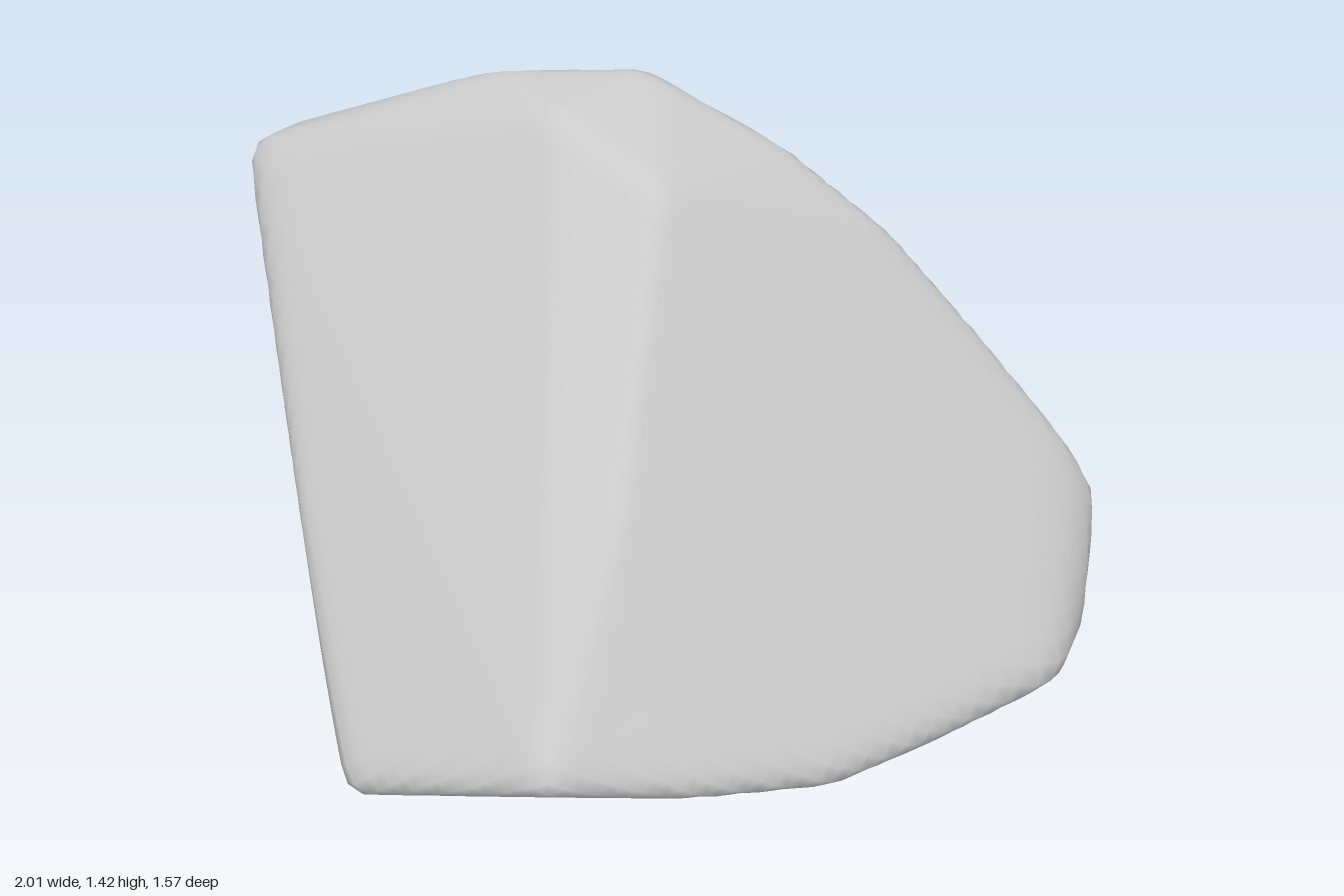
import * as THREE from 'three';
import { ConvexGeometry } from 'three/addons/geometries/ConvexGeometry.js';
import { mergeVertices } from 'three/addons/utils/BufferGeometryUtils.js';

// Main corners of the boulder, grouped by side
const crown = [
  [-0.05, 1.42, -0.36], [-0.39, 1.41, -0.3], [-0.2, 1.39, -0.1], [0.06, 1.28, 0.02],
  [0.27, 1.26, -0.36], [0.5, 1.08, -0.38], [0.71, 0.84, -0.4], [-0.2, 1.31, -0.5],
];
const sideTip = [
  [0.92, 0.61, -0.4], [1.01, 0.46, -0.43], [1.01, 0.2, -0.25], [0.97, 0.2, 0.01], [0.95, 0.13, -0.12],
];
const overhang = [
  [-1, 1.13, -0.6], [-1.01, 1.17, -0.34], [-1.01, 0.91, -0.64], [-1, 0.9, -0.42],
  [-0.79, 0.92, -0.8], [-0.55, 1.11, -0.65],
];
const front = [
  [-0.48, 0.11, 0.66], [0, 0.28, 0.8], [0.3, 0.2, 0.62], [0.53, 0.15, 0.45], [0.72, 0.14, 0.22],
  [0.08, 0.74, 0.44], [-0.77, 0.62, 0.1], [-0.62, 0.37, 0.4],
];
const back = [
  [-0.3, 0.75, -0.75], [0.05, 0.72, -0.75], [0.35, 0.4, -0.74], [0.58, 0.48, -0.71],
  [0.56, 0.03, -0.72], [-0.3, 0.35, -0.65],
];
const base = [
  [-0.58, 0, -0.42], [0, 0, -0.58], [0.4, 0, -0.6], [0.8, 0, -0.2], [0.5, 0, 0.2],
  [0, 0, 0.28], [-0.45, 0.01, 0.51], [-0.52, 0, 0.12],
];

// Shallow hollows worn into the sides: position, depth, angular width
const hollows = [
  [[0.7, 0.22, -0.6], 0.06, 0.16],
  [[-0.8, 0.58, -0.56], 0.04, 0.17],
];

const CENTRE = new THREE.Vector3(-0.05, 0.6, -0.1);
const WEAR = 0.035; // how far the edges are rounded

// Face planes of the hull around the corners, measured from CENTRE
function hullPlanes(corners) {
  const pos = new ConvexGeometry(corners).attributes.position;
  const planes = [];
  for (let i = 0; i < pos.count; i += 3) {
    const [a, b, c] = [0, 1, 2].map((k) => new THREE.Vector3().fromBufferAttribute(pos, i + k));
    const normal = b.clone().sub(a).cross(c.sub(a));
    if (normal.length() < 1e-6) continue;
    normal.normalize();
    planes.push({ normal, d: normal.dot(a.sub(CENTRE)) });
  }
  return planes;
}

// Distance from CENTRE to the hull along a direction
function reach(planes, dir) {
  let r = Infinity;
  for (const { normal, d } of planes) {
    const k = normal.dot(dir);
    if (k > 1e-6) r = Math.min(r, d / k);
  }
  return r;
}

function boulderGeometry() {
  const corners = [crown, sideTip, overhang, front, back, base].flat()
    .map((p) => new THREE.Vector3(...p));
  const planes = hullPlanes(corners);
  const dents = hollows.map(([p, depth, width]) => (
    { axis: new THREE.Vector3(...p).sub(CENTRE).normalize(), depth, width }));

  let geo = new THREE.IcosahedronGeometry(1, 30);
  geo.deleteAttribute('uv');
  geo.deleteAttribute('normal');
  geo = mergeVertices(geo, 1e-4);

  // Push a sphere out to the hull, averaging nearby directions to wear the edges round
  const pos = geo.attributes.position;
  const dir = new THREE.Vector3(), u = new THREE.Vector3(), v = new THREE.Vector3();
  const probe = new THREE.Vector3();
  for (let i = 0; i < pos.count; i++) {
    dir.fromBufferAttribute(pos, i).normalize();
    u.set(dir.y, dir.z, dir.x).cross(dir);
    if (u.length() < 1e-3) u.set(1, -1, 0);
    u.normalize();
    v.crossVectors(dir, u);
    let r = 2 * reach(planes, dir);
    for (let k = 0; k < 6; k++) {
      const t = (k * Math.PI) / 3;
      probe.copy(dir).addScaledVector(u, WEAR * Math.cos(t)).addScaledVector(v, WEAR * Math.sin(t));
      r += reach(planes, probe.normalize());
    }
    r /= 8;
    for (const { axis, depth, width } of dents) {
      r -= depth * Math.exp(-((axis.angleTo(dir) / width) ** 2));
    }
    dir.multiplyScalar(r).add(CENTRE);
    pos.setXYZ(i, dir.x, Math.max(0, dir.y), dir.z);
  }
  geo.computeVertexNormals();
  return geo;
}

export function createModel() {
  const group = new THREE.Group();
  group.name = 'rock';
  const boulder = new THREE.Mesh(
    boulderGeometry(),
    new THREE.MeshStandardMaterial({ color: 0xcccccc }),
  );
  boulder.name = 'boulder';
  group.add(boulder);
  return group;
}
